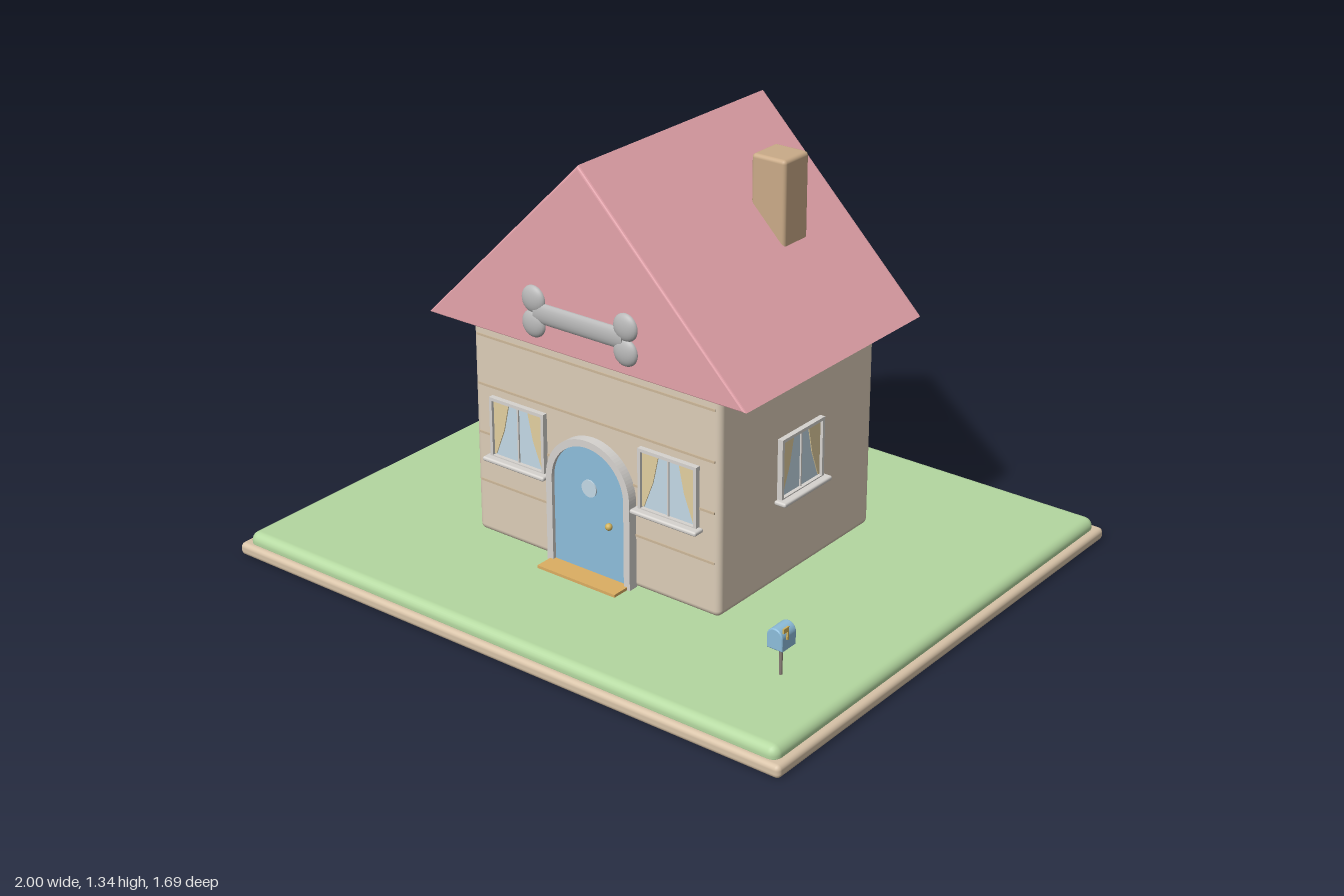
import * as THREE from 'three';
import { RoundedBoxGeometry } from 'three/addons/geometries/RoundedBoxGeometry.js';

const mat = (color) => new THREE.MeshStandardMaterial({ color });
const M = {
  stone: mat(0xd8c3a8), grass: mat(0xb4d8a0), wall: mat(0xdccdb8), groove: mat(0xcdb89a),
  roof: mat(0xe5a3ab), brick: mat(0xcaab88), door: mat(0x8dbddb), glass: mat(0xc3d9e6),
  curtain: mat(0xe2cfa0), mat: mat(0xdcae62), brass: mat(0xd2b45e), grey: mat(0xcccccc),
  bone: mat(0xb8b8b8), frame: mat(0xd6d3cf), pole: mat(0x8a7f78),
};

function add(parent, name, geometry, material, x = 0, y = 0, z = 0) {
  const mesh = new THREE.Mesh(geometry, material);
  mesh.name = name;
  mesh.position.set(x, y, z);
  parent.add(mesh);
  return mesh;
}
const box = (w, h, d) => new THREE.BoxGeometry(w, h, d);
const rbox = (w, h, d, r) => new RoundedBoxGeometry(w, h, d, 3, r);
const extrude = (shape, depth, bevel = 0) => new THREE.ExtrudeGeometry(shape, {
  depth: depth - 2 * bevel, bevelEnabled: bevel > 0, bevelSize: bevel, bevelThickness: bevel,
  bevelOffset: -bevel, bevelSegments: 3, curveSegments: 24,
}).translate(0, 0, bevel);

// Round-topped outline standing on y = 0
function archPoints(target, r, spring) {
  target.moveTo(-r, 0);
  target.lineTo(r, 0);
  target.lineTo(r, spring);
  target.absarc(0, spring, r, 0, Math.PI, false);
  target.lineTo(-r, 0);
  return target;
}

// Window centred on its opening, its back on z = 0
function makeWindow(name) {
  const g = new THREE.Group();
  g.name = name;
  const w = 0.208, h = 0.195, t = 0.01;
  add(g, 'glass', box(w - t, h - t, 0.006), M.glass, 0, 0, 0.003);
  for (const s of [-1, 1]) {
    add(g, 'frameSide', box(t, h, 0.018), M.frame, s * (w - t) / 2, 0, 0.009);
    add(g, 'frameRail', box(w, t, 0.018), M.frame, 0, s * (h - t) / 2, 0.009);
    // Curtain, gathered to the lower outer corner
    const pts = [[0.094, 0.09], [0.035, 0.09], [0.055, 0.0], [0.088, -0.085], [0.094, -0.085]];
    const c = new THREE.Shape(pts.map(([x, y]) => new THREE.Vector2(s * x, y)));
    add(g, 'curtain', extrude(c, 0.003), M.curtain, 0, 0, 0.006);
  }
  add(g, 'mullion', box(0.005, h - t, 0.005), M.frame, 0, 0, 0.0085);
  add(g, 'sill', rbox(0.236, 0.014, 0.04, 0.006), M.frame, 0, -0.098, 0.02);
  return g;
}

export function createModel() {
  const model = new THREE.Group();
  model.name = 'cottage';

  // Ground
  add(model, 'basePlate', rbox(2, 0.04, 1.69, 0.015), M.stone, 0, 0.02, 0);
  add(model, 'lawn', rbox(1.955, 0.06, 1.655, 0.028), M.grass, 0, 0.046, 0);

  // Walls with plank lines across the front
  add(model, 'walls', rbox(0.904, 0.73, 0.75, 0.02), M.wall, 0, 0.438, 0);
  for (let i = 0; i < 4; i++)
    add(model, 'plankLine', box(0.87, 0.007, 0.008), M.groove, 0, 0.245 + i * 0.157, 0.374);

  // Gable roof and chimney
  const gable = new THREE.Shape([[-0.575, 0.765], [0.575, 0.765], [0, 1.34]]
    .map(([x, y]) => new THREE.Vector2(x, y)));
  add(model, 'roof', extrude(gable, 0.856, 0.008), M.roof, 0, 0, -0.428);
  add(model, 'chimney', rbox(0.118, 0.4, 0.118, 0.012), M.brick, 0.261, 1.077, -0.151);

  // Bone ornament on the gable
  const bone = new THREE.Group();
  bone.name = 'boneOrnament';
  bone.position.set(0, 0.872, 0.428);
  bone.scale.z = 0.45;
  model.add(bone);
  add(bone, 'boneShaft', new THREE.CylinderGeometry(0.032, 0.032, 0.32, 20), M.bone).rotation.z = Math.PI / 2;
  for (const sx of [-1, 1]) for (const sy of [-1, 1])
    add(bone, 'boneKnob', new THREE.SphereGeometry(0.042, 24, 16), M.bone, sx * 0.166, sy * 0.037, 0);

  // Front door
  const entry = new THREE.Group();
  entry.name = 'entry';
  entry.position.set(0, 0.075, 0.372);
  model.add(entry);
  const surround = archPoints(new THREE.Shape(), 0.155, 0.277);
  surround.holes.push(archPoints(new THREE.Path(), 0.133, 0.277));
  add(entry, 'doorFrame', extrude(surround, 0.034), M.frame);
  add(entry, 'door', extrude(archPoints(new THREE.Shape(), 0.134, 0.277), 0.022), M.door);
  add(entry, 'doorWindow', new THREE.CylinderGeometry(0.027, 0.027, 0.008, 28), M.glass, 0, 0.278, 0.022).rotation.x = Math.PI / 2;
  add(entry, 'doorKnob', new THREE.SphereGeometry(0.011, 16, 12), M.brass, 0.077, 0.182, 0.031);
  add(entry, 'doormat', box(0.29, 0.01, 0.095), M.mat, 0, 0.005, 0.044);

  // Windows: two in front, one on each side
  for (const s of [-1, 1]) {
    const front = makeWindow('frontWindow');
    front.position.set(s * 0.278, 0.435, 0.374);
    const side = makeWindow('sideWindow');
    side.position.set(s * 0.451, 0.435, 0);
    side.rotation.y = s * Math.PI / 2;
    model.add(front, side);
  }

  // Mailbox
  const mailbox = new THREE.Group();
  mailbox.name = 'mailbox';
  mailbox.position.set(0.765, 0.075, 0.512);
  model.add(mailbox);
  add(mailbox, 'post', new THREE.CylinderGeometry(0.005, 0.005, 0.1, 12), M.pole, 0, 0.05, 0);
  add(mailbox, 'letterBox', extrude(archPoints(new THREE.Shape(), 0.026, 0.038), 0.066, 0.004), M.door, 0, 0.091, -0.033);
  add(mailbox, 'flagArm', box(0.005, 0.04, 0.006), M.brass, 0.029, 0.144, 0.012);
  add(mailbox, 'flag', box(0.005, 0.014, 0.024), M.brass, 0.029, 0.157, 0.021);

  return model;
}
